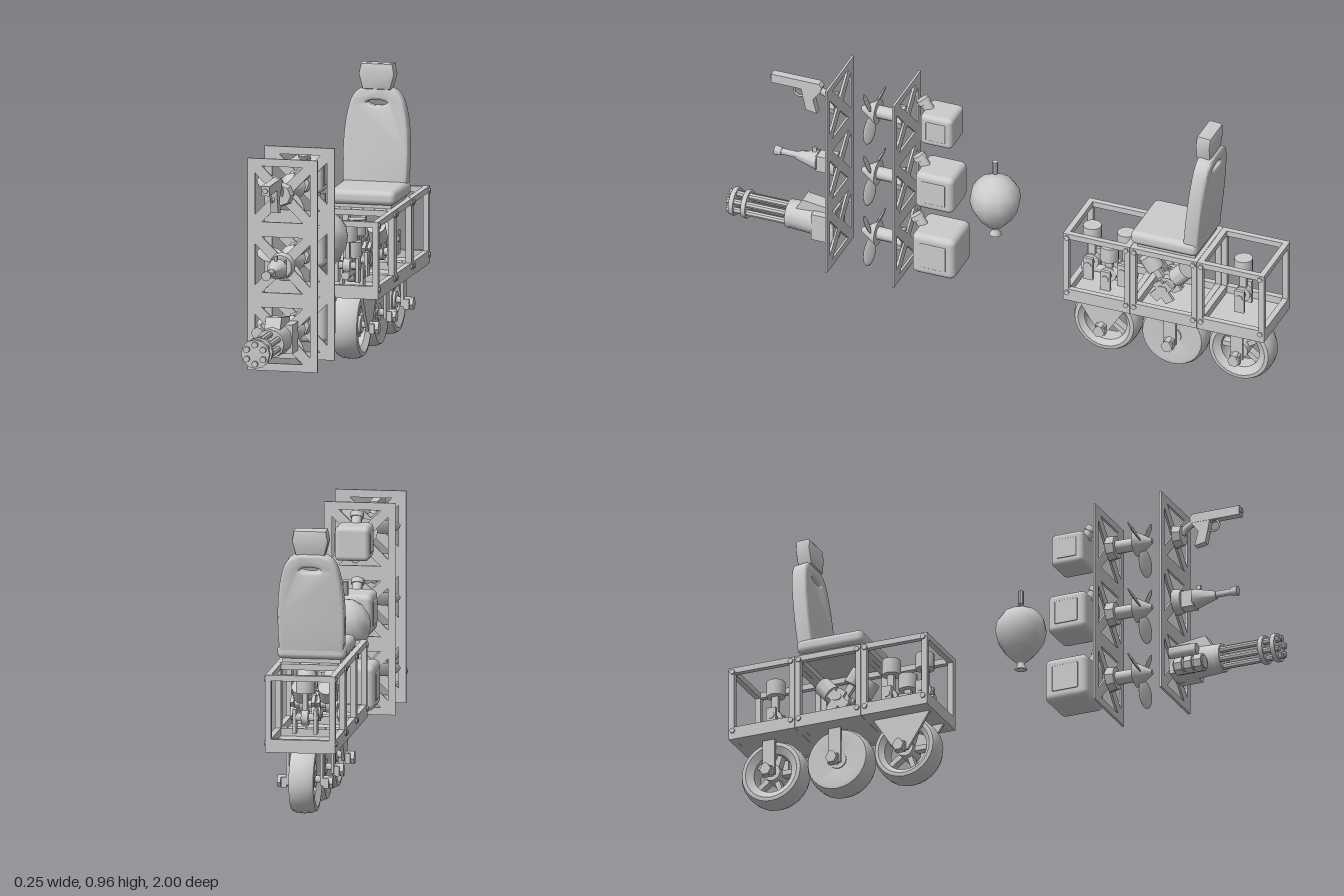
import * as THREE from 'three';
import { toCreasedNormals } from 'three/addons/utils/BufferGeometryUtils.js';
import { RoundedBoxGeometry } from 'three/addons/geometries/RoundedBoxGeometry.js';

const mat = new THREE.MeshStandardMaterial({ color: 0xcccccc, side: THREE.DoubleSide });
const HALF = Math.PI / 2;

function group(parent, name, x = 0, y = 0, z = 0) {
  const g = new THREE.Group();
  g.name = name;
  g.position.set(x, y, z);
  parent.add(g);
  return g;
}
function add(parent, name, geo, x = 0, y = 0, z = 0, rx = 0, ry = 0, rz = 0) {
  const m = new THREE.Mesh(geo, mat);
  m.name = name;
  m.position.set(x, y, z);
  m.rotation.set(rx, ry, rz);
  parent.add(m);
  return m;
}
const box = (w, h, d) => new THREE.BoxGeometry(w, h, d);
const cylY = (rt, rb, h, n = 16) => toCreasedNormals(new THREE.CylinderGeometry(rt, rb, h, n), 0.7);
const cylZ = (rf, rb, h, n = 16) => cylY(rf, rb, h, n).rotateX(HALF); // rf is the +z end
const cylX = (r, h, n = 16) => cylY(r, r, h, n).rotateZ(HALF);
const shapeOf = (pts) => new THREE.Shape(pts.map((p) => new THREE.Vector2(p[0], p[1])));

// Extrude a (z, y) side profile across x, centred on x = 0
function sidePlate(pts, width) {
  const geo = new THREE.ExtrudeGeometry(shapeOf(pts), { depth: width, bevelEnabled: false });
  return geo.translate(0, 0, -width / 2).rotateY(-HALF);
}

// Tall plate of three braced square cells
function panel(parent, z) {
  const shape = shapeOf([[-0.122, 0.125], [0.122, 0.125], [0.122, 0.855], [-0.122, 0.855]]);
  for (const cy of [0.247, 0.49, 0.733]) {
    for (let k = 0; k < 4; k++) {
      const c = Math.cos(k * HALF), s = Math.sin(k * HALF);
      const tri = [[0.096, 0.072], [0.096, -0.072], [0.026, 0]];
      shape.holes.push(new THREE.Path(tri.map(([a, b]) => new THREE.Vector2(a * c - b * s, cy + a * s + b * c))));
    }
  }
  const geo = new THREE.ExtrudeGeometry(shape, { depth: 0.008, bevelEnabled: false });
  add(parent, 'bracedPanel', geo, 0, 0, z - 0.004);
}

function propeller(parent, y) {
  const g = group(parent, 'propeller', 0, y, 0);
  add(g, 'mount', cylZ(0.04, 0.045, 0.03, 8), 0, 0, 0.372);
  add(g, 'shaft', cylZ(0.023, 0.023, 0.09, 12), 0, 0, 0.42);
  add(g, 'spinner', cylZ(0.008, 0.046, 0.06, 12), 0, 0, 0.487);
  for (const deg of [50, 170, 290]) {
    const blade = new THREE.SphereGeometry(1, 12, 8).scale(0.05, 0.028, 0.005);
    blade.rotateX(0.5).translate(0.072, 0, 0).rotateZ((deg * Math.PI) / 180);
    add(g, 'blade', blade, 0, 0, 0.48);
  }
}

function fuelCan(parent, y, z, size) {
  const g = group(parent, 'fuelCan', 0, y, z);
  add(g, 'canBody', new RoundedBoxGeometry(size, size, size, 3, size * 0.14));
  for (const s of [-1, 1]) add(g, 'canRib', new RoundedBoxGeometry(0.006, size * 0.6, size * 0.6, 2, 0.003), s * size / 2);
  add(g, 'spout', cylY(0.018, 0.018, 0.045, 10), 0, size * 0.5 + 0.004, size * 0.5 - 0.005, 0.6);
  add(g, 'spoutCap', cylY(0.023, 0.023, 0.018, 10), 0, size * 0.5 + 0.02, size * 0.5 + 0.008, 0.6);
}

function handgun(parent) {
  const g = group(parent, 'handgun');
  add(g, 'mount', cylZ(0.035, 0.042, 0.028, 8), 0, 0.735, 0.618);
  add(g, 'slide', sidePlate([[0.665, 0.77], [0.845, 0.77], [0.845, 0.803], [0.67, 0.803], [0.66, 0.79]], 0.028));
  add(g, 'grip', sidePlate([[0.665, 0.772], [0.735, 0.772], [0.728, 0.735], [0.718, 0.69], [0.678, 0.683], [0.692, 0.735]], 0.026));
  add(g, 'triggerGuard', new THREE.TorusGeometry(0.02, 0.004, 6, 14), 0, 0.752, 0.745, 0, HALF);
  add(g, 'muzzle', cylZ(0.009, 0.009, 0.01, 10), 0, 0.787, 0.846);
  const bend = new THREE.QuadraticBezierCurve3(new THREE.Vector3(0, 0.775, 0.675), new THREE.Vector3(0, 0.765, 0.635), new THREE.Vector3(0, 0.735, 0.625));
  add(g, 'bracket', new THREE.TubeGeometry(bend, 8, 0.012, 8));
}

function machineGun(parent) {
  const g = group(parent, 'lightGun', 0, 0.49, 0);
  add(g, 'mount', cylZ(0.04, 0.046, 0.03, 10), 0, 0, 0.618);
  add(g, 'receiver', box(0.045, 0.06, 0.06), 0, -0.003, 0.65);
  add(g, 'shroud', cylZ(0.014, 0.036, 0.08, 10), 0, 0, 0.715);
  add(g, 'barrel', cylZ(0.011, 0.011, 0.09, 10), 0, 0.002, 0.785);
  add(g, 'muzzle', cylZ(0.017, 0.014, 0.025, 10), 0, 0.002, 0.822);
  add(g, 'sight', box(0.008, 0.025, 0.015), 0, 0.035, 0.69);
}

function rotaryGun(parent) {
  const g = group(parent, 'rotaryGun', 0, 0.25, 0);
  add(g, 'housing', cylZ(0.05, 0.058, 0.165, 12), 0, 0, 0.685);
  add(g, 'rearBlock', box(0.11, 0.1, 0.08), 0, 0, 0.642);
  add(g, 'topCover', sidePlate([[0.604, 0.04], [0.75, 0.04], [0.725, 0.083], [0.604, 0.066]], 0.055));
  add(g, 'spindle', cylZ(0.012, 0.012, 0.22, 8), 0, 0, 0.87);
  for (let i = 0; i < 6; i++) {
    const a = (i * Math.PI) / 3 + HALF;
    add(g, 'barrel', cylZ(0.011, 0.011, 0.235, 8), 0.033 * Math.cos(a), 0.033 * Math.sin(a), 0.882);
  }
  for (const z of [0.775, 0.935, 0.98]) add(g, 'barrelPlate', cylZ(0.05, 0.05, 0.016, 12), 0, 0, z);
  // ammunition drum and motor on the right
  for (let i = 0; i < 3; i++) add(g, 'ammoDrum', cylZ(0.032, 0.032, 0.028, 8), -0.075, -0.04, 0.655 + i * 0.036);
  add(g, 'drumCore', cylZ(0.024, 0.024, 0.11, 8), -0.075, -0.04, 0.69);
  add(g, 'feedMotor', cylZ(0.02, 0.02, 0.1, 10), -0.062, 0.022, 0.66);
}

function balloon(parent) {
  const g = group(parent, 'balloon', 0, 0, 0.03);
  const pts = [[0, 0.578], [0.03, 0.573], [0.06, 0.556], [0.082, 0.525], [0.088, 0.49], [0.08, 0.452], [0.058, 0.415],
    [0.03, 0.385], [0.013, 0.372], [0.011, 0.365], [0.022, 0.348], [0.016, 0.345], [0.006, 0.358]];
  add(g, 'envelope', new THREE.LatheGeometry(pts.map((p) => new THREE.Vector2(...p)).reverse(), 12));
  add(g, 'valvePin', cylY(0.01, 0.01, 0.048, 10), 0, 0.615, 0);
}

// One open cube of the chassis
function frameCell(parent, z) {
  const g = group(parent, 'frameCell', 0, 0, z);
  const e = 0.11, b = 0.02;
  add(g, 'floor', box(0.24, 0.018, 0.242), 0, 0.236, 0);
  for (const s of [-1, 1]) {
    add(g, 'lowerSideRail', box(b, 0.045, 0.244), s * e, 0.249, 0);
    add(g, 'upperSideRail', box(b, b, 0.244), s * e, 0.483, 0);
    add(g, 'lowerCrossRail', box(0.22, 0.045, b), 0, 0.249, s * 0.112);
    add(g, 'upperCrossRail', box(0.22, b, b), 0, 0.483, s * 0.112);
    for (const t of [-1, 1]) {
      add(g, 'post', box(b, 0.25, b), s * e, 0.365, t * 0.112);
      for (const y of [0.258, 0.478]) add(g, 'bolt', cylX(0.01, 0.008, 6), s * 0.121, y, t * 0.108);
    }
  }
}

// Piston, rod and big end, standing on its crank pin
function piston(parent, y, z, rodLength, tilt = 0, x = 0) {
  const g = group(parent, 'piston', x, y, z);
  g.rotation.x = tilt;
  add(g, 'pistonHead', cylY(0.032, 0.032, 0.055, 14), 0, rodLength, 0);
  add(g, 'rod', box(0.016, rodLength, 0.024), 0, rodLength / 2, 0);
  add(g, 'bigEnd', cylX(0.028, 0.024, 14));
  add(g, 'crankPin', cylX(0.013, 0.09, 10));
  for (const s of [-1, 1]) add(g, 'crankWeb', box(0.012, 0.085, 0.035), s * 0.036, -0.014, 0);
}

// Wheel of a given style with its bracket
function wheel(parent, z, style) {
  const g = group(parent, style + 'Wheel', 0, 0.118, z);
  const rim = { front: 0.078, middle: 0.015, rear: 0.07 }[style];
  const tyre = [[rim, -0.028], [0.095, -0.044], [0.108, -0.042], [0.116, -0.026], [0.118, 0], [0.116, 0.026],
    [0.108, 0.042], [0.095, 0.044], [rim, 0.028], [rim, -0.028]];
  const lathe = new THREE.LatheGeometry(tyre.map((p) => new THREE.Vector2(...p)), 28);
  add(g, 'tyre', toCreasedNormals(lathe, 0.6), 0, 0, 0, 0, 0, HALF);
  add(g, 'hub', cylX(0.03, 0.07, 16));
  if (style !== 'middle') {
    for (let i = 0; i < 5; i++) {
      const spoke = box(0.03, 0.065, 0.018).translate(0, 0.05, 0);
      add(g, 'spoke', spoke, 0, 0, 0, (i * 2 * Math.PI) / 5 + 0.3);
    }
  }
  add(g, 'axle', cylX(0.012, 0.19, 10));
  const top = style === 'front' ? 0.105 : 0.022;
  for (const s of [-1, 1]) {
    add(g, 'bracket', sidePlate([[-0.022, -0.02], [0.022, -0.02], [top, 0.11], [-top, 0.11]], 0.01), s * 0.058);
    add(g, 'axleBlock', box(0.018, 0.035, 0.035), s * 0.072, -0.012, 0);
    add(g, 'axleNut', cylX(0.021, 0.012, 6), s * 0.089, -0.012, 0);
  }
}

function seat(parent) {
  const g = group(parent, 'seat');
  add(g, 'seatBase', box(0.2, 0.016, 0.21), 0, 0.5, -0.635);
  add(g, 'cushion', new RoundedBoxGeometry(0.236, 0.05, 0.245, 3, 0.02), 0, 0.53, -0.63);
  // backrest narrows upward to rounded shoulders and has a grab slot
  const s = new THREE.Shape();
  s.moveTo(-0.1, 0);
  s.lineTo(0.1, 0);
  s.bezierCurveTo(0.108, 0.1, 0.105, 0.2, 0.09, 0.26);
  s.bezierCurveTo(0.08, 0.31, 0.06, 0.325, 0.03, 0.328);
  s.lineTo(-0.03, 0.328);
  s.bezierCurveTo(-0.06, 0.325, -0.08, 0.31, -0.09, 0.26);
  s.bezierCurveTo(-0.105, 0.2, -0.108, 0.1, -0.1, 0);
  const slot = new THREE.Path();
  slot.absellipse(0, 0.283, 0.048, 0.02, 0, Math.PI * 2, true);
  s.holes.push(slot);
  const geo = new THREE.ExtrudeGeometry(s, { depth: 0.034, bevelSize: 0.01, bevelThickness: 0.01, bevelSegments: 3, curveSegments: 10 });
  add(g, 'backrest', toCreasedNormals(geo, 0.7), 0, 0.535, -0.742, -0.1);
  const head = shapeOf([[-0.043, 0], [0.043, 0], [0.055, 0.045], [0.049, 0.074], [-0.049, 0.074], [-0.055, 0.045]]);
  const headGeo = new THREE.ExtrudeGeometry(head, { depth: 0.034, bevelSize: 0.008, bevelThickness: 0.01, bevelSegments: 2 });
  add(g, 'headrest', toCreasedNormals(headGeo, 0.6), 0, 0.872, -0.767, -0.05);
}

export function createModel() {
  const root = new THREE.Group();
  root.name = 'modularVehicleKit';

  // weapon rack
  const weapons = group(root, 'weaponRack');
  panel(weapons, 0.6);
  handgun(weapons);
  machineGun(weapons);
  rotaryGun(weapons);

  // propeller rack
  const props = group(root, 'propellerRack');
  panel(props, 0.355);
  for (const y of [0.247, 0.49, 0.737]) propeller(props, y);

  // fuel cans and balloon
  fuelCan(root, 0.742, 0.225, 0.118);
  fuelCan(root, 0.5, 0.228, 0.14);
  fuelCan(root, 0.25, 0.228, 0.158);
  balloon(root);

  // vehicle
  const car = group(root, 'vehicle');
  for (const z of [-0.388, -0.633, -0.878]) frameCell(car, z);
  seat(car);
  wheel(car, -0.385, 'front');
  wheel(car, -0.633, 'middle');
  wheel(car, -0.877, 'rear');

  // inline, vee and single engines
  piston(car, 0.33, -0.325, 0.112);
  piston(car, 0.29, -0.388, 0.085);
  piston(car, 0.33, -0.45, 0.112);
  add(car, 'crankShaft', cylZ(0.014, 0.014, 0.2, 10), 0, 0.3, -0.388);
  for (const x of [-0.045, 0.045]) {
    piston(car, 0.33, -0.62, 0.07, -0.75, x);
    piston(car, 0.33, -0.61, 0.09, 0.6, x);
  }
  piston(car, 0.33, -0.878, 0.112);
  return root;
}
